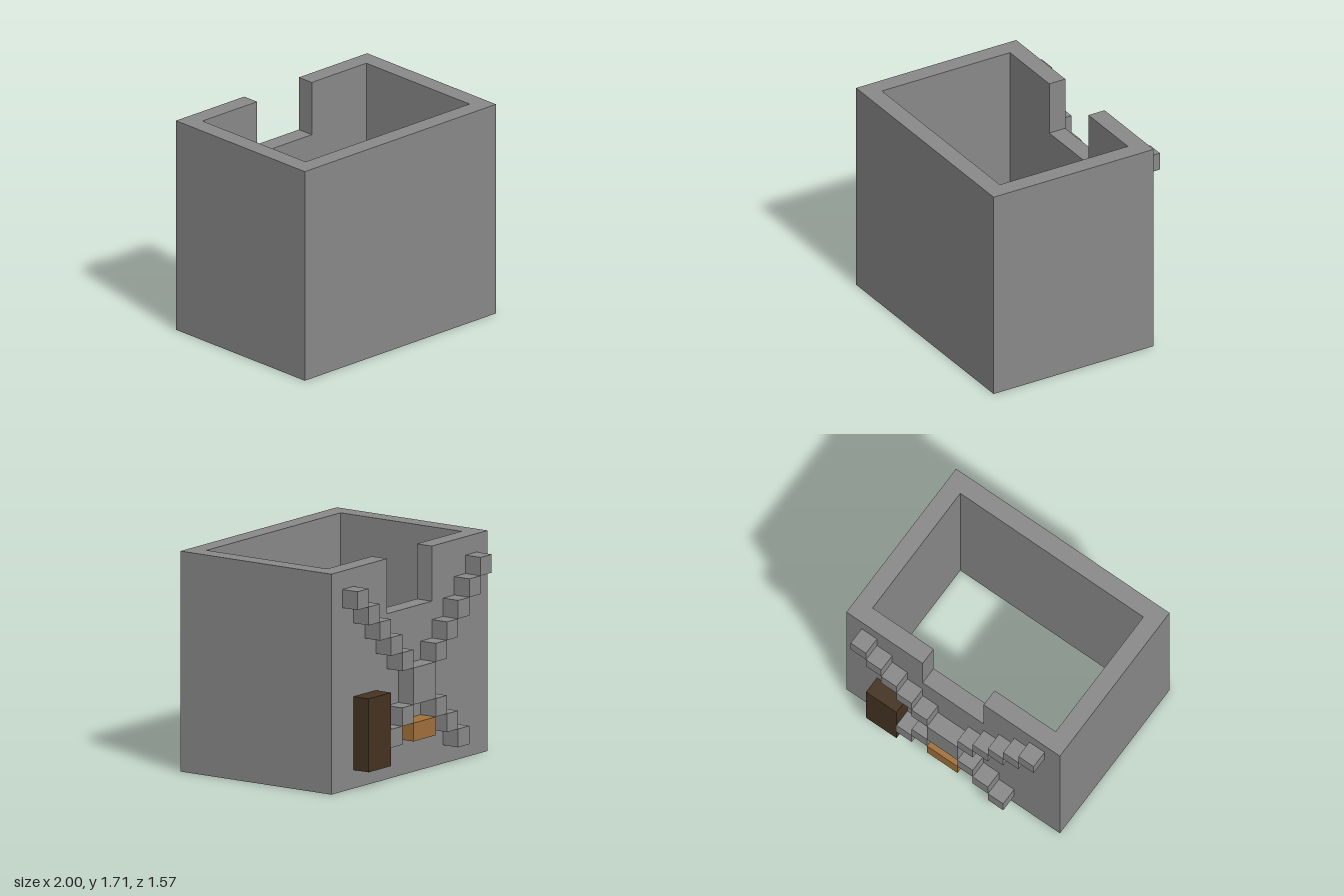
import * as THREE from 'three';

const U = 1 / 7; // one grid block

export function createModel() {
  const model = new THREE.Group();
  const paint = (name, color) => {
    const m = new THREE.MeshStandardMaterial({ color });
    m.name = name;
    return m;
  };
  const stone = paint('stone grey', 0x888888);
  const darkWood = paint('dark brown', 0x443322);
  const lightWood = paint('light brown', 0xa0703c);

  const add = (name, geometry, material, parent = model) => {
    const mesh = new THREE.Mesh(geometry, material);
    mesh.name = name;
    parent.add(mesh);
    return mesh;
  };

  // Upright walls from a floor plan given as [x, z] block coordinates
  const walls = (name, plan, hole, y0, y1) => {
    const points = (list) => list.map(([x, z]) => new THREE.Vector2(x * U, -z * U));
    const shape = new THREE.Shape(points(plan));
    if (hole) shape.holes.push(new THREE.Path(points(hole)));
    const geo = new THREE.ExtrudeGeometry(shape, { depth: (y1 - y0) * U, bevelEnabled: false });
    geo.rotateX(-Math.PI / 2).translate(0, y0 * U, 0);
    return add(name, geo, stone);
  };

  // Closed ring below, and an upper course left open for the notch in the back
  walls('lowerWalls',
    [[-7, 5.5], [7, 5.5], [7, -4.5], [-7, -4.5]],
    [[-6, 4.5], [6, 4.5], [6, -3.5], [-6, -3.5]], 0, 9);
  walls('upperWalls', [
    [-7, 5.5], [7, 5.5], [7, -4.5], [2, -4.5], [2, -3.5], [6, -3.5],
    [6, 4.5], [-6, 4.5], [-6, -3.5], [-2, -3.5], [-2, -4.5], [-7, -4.5],
  ], null, 9, 12);

  // Block standing one unit out from the back wall; x, y is its lower corner
  const block = (name, x, y, w, h, material, parent) => {
    const mesh = add(name, new THREE.BoxGeometry(w * U, h * U, U), material, parent);
    mesh.position.set((x + w / 2) * U, (y + h / 2) * U, -5 * U);
  };

  // Diagonal cross of stone blocks on the back wall
  const cross = new THREE.Group();
  cross.name = 'backCross';
  model.add(cross);
  block('crossCentre', -1, 4, 2, 2, stone, cross);
  for (const side of [1, -1]) {
    const cornerX = (i) => (side > 0 ? 1 + i : -2 - i);
    for (let i = 0; i < 5; i++) block('upperArmBlock', cornerX(i), 6 + i, 1, 1, stone, cross);
    // the left lower arm ends against the dark panel
    const count = side > 0 ? 2 : 3;
    for (let i = 0; i < count; i++) block('lowerArmBlock', cornerX(i), 3 - i, 1, 1, stone, cross);
  }

  // Wooden blocks
  block('darkPanel', 3, 1, 2, 4, darkWood);
  block('lightBlock', -1, 2, 2, 1, lightWood);

  return model;
}
